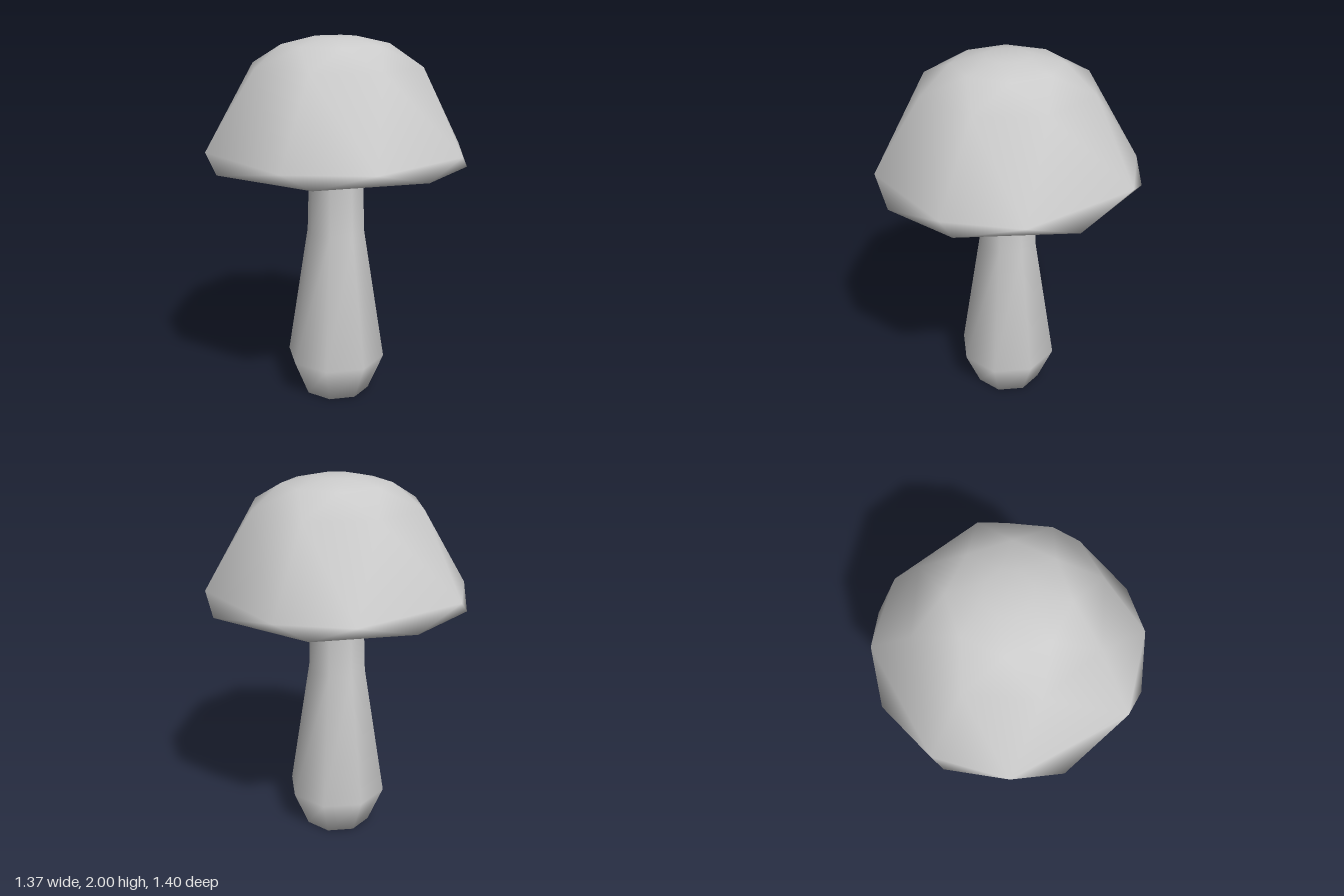
import * as THREE from 'three';

const rad = THREE.MathUtils.degToRad;

// Joins a stack of rings (arrays of Vector3, each turning from +x to +z) into one smooth skin.
// Each ring may lead the one before it by about half a step, which gives a band of zigzag triangles.
function loft(name, rings, closeStart, closeEnd) {
  const n = rings[0].length;
  const points = rings.flat();
  const index = [];
  for (let i = 0; i < rings.length - 1; i++) {
    for (let j = 0; j < n; j++) {
      const a = i * n + j, b = i * n + (j + 1) % n;
      const c = a + n, d = b + n;
      index.push(a, c, b, b, c, d);
    }
  }
  // fan over an end ring from its middle point
  const cap = (start, flip) => {
    const mid = new THREE.Vector3();
    for (let j = 0; j < n; j++) mid.addScaledVector(points[start + j], 1 / n);
    const m = points.push(mid) - 1;
    for (let j = 0; j < n; j++) {
      const a = start + j, b = start + (j + 1) % n;
      index.push(...(flip ? [a, b, m] : [b, a, m]));
    }
  };
  if (closeStart) cap(0, true);
  if (closeEnd) cap((rings.length - 1) * n, false);

  const geometry = new THREE.BufferGeometry().setFromPoints(points);
  geometry.setIndex(index);
  geometry.computeVertexNormals();
  const mesh = new THREE.Mesh(geometry, new THREE.MeshStandardMaterial({ color: 0xcccccc }));
  mesh.name = name;
  return mesh;
}

// One ring: radius, height and the angles of its corners
const ring = (r, y, angles) => angles.map((deg) =>
  new THREE.Vector3(r * Math.cos(rad(deg)), y, r * Math.sin(rad(deg))));

// Eight evenly spaced corners
const octagon = (first) => Array.from({ length: 8 }, (_, j) => first + j * 45);

// Octagonal stem with a bulb at the foot and a flare under the cap
function createStem() {
  const profile = [[0.19, 0], [0.277, 0.21], [0.16, 0.95], [0.147, 1.36], [0.165, 1.47], [0.27, 1.54]];
  return loft('stem', profile.map(([r, y]) => ring(r, y, octagon(13))), true, false);
}

// Domed, hollow cap; the uneven rim and the skirt above it are staggered
function createCap() {
  const rim = [13, 63, 98, 146, 194, 243, 280, 323];
  const skirt = [35, 69, 121, 159, 216, 249, 305, 338];
  return loft('cap', [
    ring(0.2, 1.55, rim),            // hollow underside
    ring(0.5, 1.5, rim),
    ring(0.707, 1.352, rim),         // rim
    ring(0.697, 1.415, skirt),       // skirt
    ring(0.465, 1.855, octagon(63)), // shoulder
    ring(0.285, 1.963, octagon(85)), // crown
    ring(0.12, 2, octagon(108)),
  ], false, true);
}

export function createModel() {
  const group = new THREE.Group();
  group.name = 'mushroom';
  group.add(createStem(), createCap());
  return group;
}
